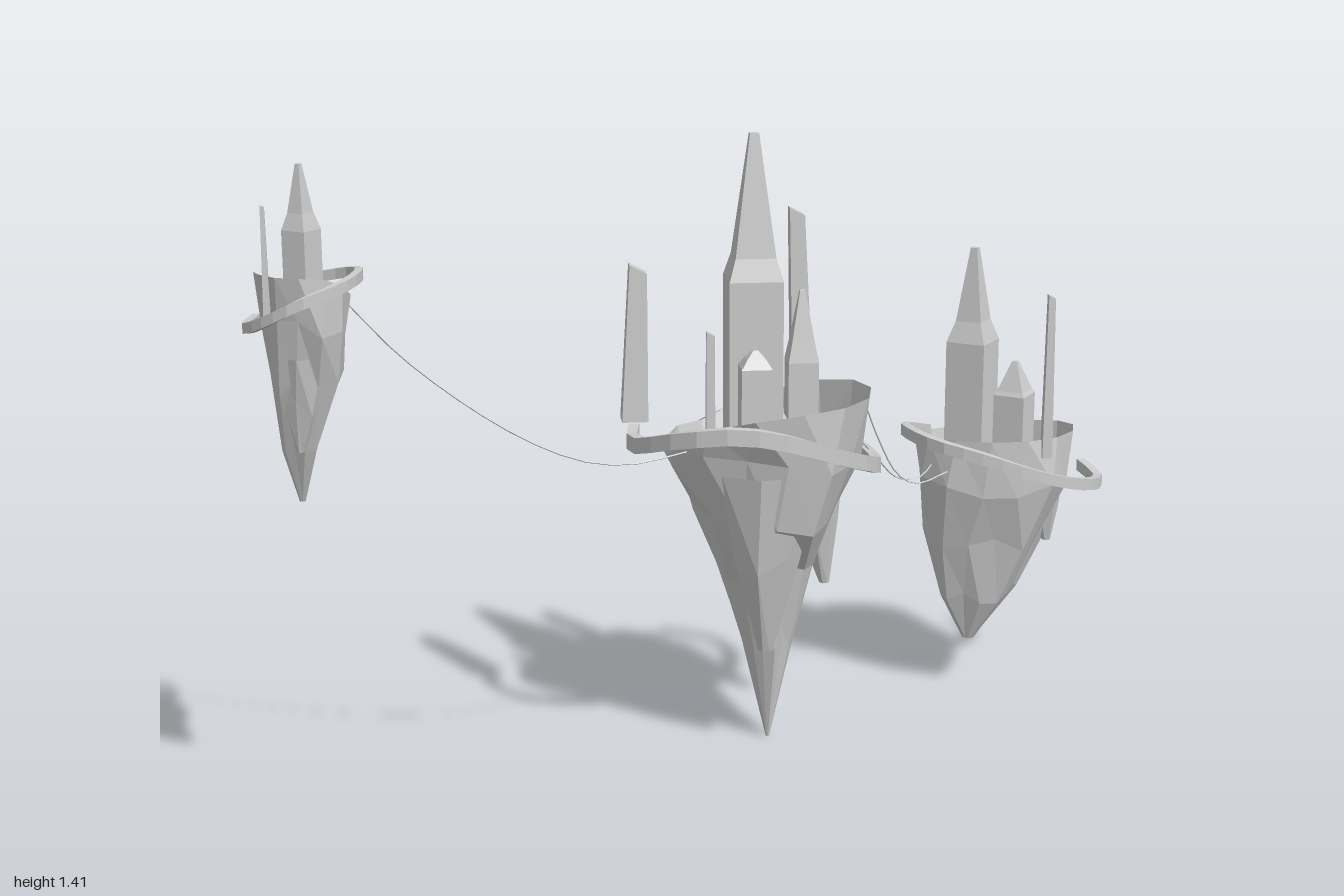
import * as THREE from 'three';

const stone = new THREE.MeshStandardMaterial({ color: 0xcccccc, flatShading: true });
const shell = new THREE.MeshStandardMaterial({ color: 0xcccccc, flatShading: true, side: THREE.DoubleSide });
const V = (x, y, z) => new THREE.Vector3(x, y, z);

// Skin over a stack of equal-length loops; closed skins get a fan at both ends
function loft(name, loops, open = false) {
  const n = loops[0].length, pos = [], idx = [];
  loops.forEach(l => l.forEach(p => pos.push(p.x, p.y, p.z)));
  for (let i = 0; i < loops.length - 1; i++) {
    for (let j = 0; j < n; j++) {
      const a = i * n + j, b = i * n + (j + 1) % n;
      idx.push(a, b, a + n, b, b + n, a + n);
    }
  }
  if (!open) [0, loops.length - 1].forEach((l, end) => {
    const c = V(0, 0, 0);
    loops[l].forEach(p => c.addScaledVector(p, 1 / n));
    const ci = pos.length / 3;
    pos.push(c.x, c.y, c.z);
    for (let j = 0; j < n; j++) {
      const a = l * n + j, b = l * n + (j + 1) % n;
      if (end) idx.push(a, b, ci); else idx.push(b, a, ci);
    }
  });
  // Turn all faces outwards: the enclosed volume must be positive
  const at = k => V(pos[3 * k], pos[3 * k + 1], pos[3 * k + 2]);
  const origin = at(0);
  let volume = 0;
  for (let k = 0; k < idx.length; k += 3) {
    const [a, b, c] = [0, 1, 2].map(m => at(idx[k + m]).sub(origin));
    volume += a.dot(b.cross(c));
  }
  if (volume < 0) idx.reverse();
  const g = new THREE.BufferGeometry();
  g.setAttribute('position', new THREE.Float32BufferAttribute(pos, 3));
  g.setIndex(idx);
  g.computeVertexNormals();
  const mesh = new THREE.Mesh(g, open ? shell : stone);
  mesh.name = name;
  return mesh;
}

function seeded(s) {
  return () => {
    s = (s * 16807) % 2147483647;
    return s / 2147483647;
  };
}

// Hollow craggy rock; sections are [y, centreX, centreZ, radiusX, radiusZ] from rim to tip.
// The rim is highest towards the angle `high` and sinks by `drop` opposite to it.
function rock(name, sections, seed, n = 14, drop = 0, high = 0, rough = 0.14) {
  const rnd = seeded(seed);
  const ridge = Array.from({ length: n }, () => 1 + (rnd() - 0.5) * rough);
  return loft(name, sections.map(([y, cx, cz, rx, rz], i) => {
    const inner = i > 0 && i < sections.length - 1;
    return ridge.map((k, j) => {
      const a = j / n * Math.PI * 2 + i * 0.12;
      const r = inner ? k + (rnd() - 0.5) * rough : 1;
      const sink = i === 0 ? drop * ((1 - Math.cos(a - high)) / 2) ** 2 : 0;
      const dy = inner ? (rnd() - 0.5) * 0.05 : -sink;
      return V(cx + Math.cos(a) * rx * r, y + dy, cz + Math.sin(a) * rz * r);
    });
  }), true);
}

// Hanging spur that narrows from a root to a blunt tip, both [x, y, z]
function spur(name, root, tip, rx, rz, seed) {
  return rock(name, [0, 0.5, 1].map(t => {
    const p = V(...root).lerp(V(...tip), t), w = 1 - 0.86 * t ** 1.3;
    return [p.y, p.x, p.z, rx * w, rz * w];
  }), seed, 7);
}

// Square loop, optionally turned, with a sloping height
function square(x, y, z, s, turn = 0, slope = 0) {
  return [0, 1, 2, 3].map(k => {
    const a = turn + Math.PI / 4 + k * Math.PI / 2, r = s * Math.SQRT2;
    return V(x + Math.cos(a) * r, y + Math.cos(a) * r * slope, z + Math.sin(a) * r);
  });
}

// Tower with a bevelled shoulder and a tapering spire
function tower(name, x, z, s, [base, eaves, shoulder, tip], turn = 0, neck = 0.75) {
  return loft(name, [
    square(x, base, z, s, turn), square(x, eaves, z, s, turn),
    square(x, shoulder, z, s * neck, turn), square(x, tip, z, s * 0.17, turn)]);
}

// Leaning monolith with a slanted top
function pylon(name, x, z, y0, y1, s0, s1, lean = 0) {
  return loft(name, [square(x, y0, z, s0), square(x + lean, y1 - s1 * 0.5, z, s1, 0, -0.5)]);
}

// Broken ring: rectangular band swept along a path
function ring(name, width, height, ...pts) {
  const curve = new THREE.CatmullRomCurve3(pts.map(p => V(...p)));
  const loops = [], segments = 20;
  for (let i = 0; i <= segments; i++) {
    const p = curve.getPointAt(i / segments), t = curve.getTangentAt(i / segments);
    const side = V(-t.z, 0, t.x).normalize().multiplyScalar(width / 2);
    loops.push([[1, 1], [1, -1], [-1, -1], [-1, 1]].map(([u, v]) =>
      p.clone().addScaledVector(side, u).add(V(0, v * height / 2, 0))));
  }
  return loft(name, loops);
}

function cable(name, ...pts) {
  const curve = new THREE.CatmullRomCurve3(pts.map(p => V(...p)));
  const mesh = new THREE.Mesh(new THREE.TubeGeometry(curve, 14, 0.002, 4), stone);
  mesh.name = name;
  return mesh;
}

function island(name, ...parts) {
  const g = new THREE.Group();
  g.name = name;
  g.add(...parts);
  return g;
}

export function createModel() {
  const model = new THREE.Group();
  model.name = 'floatingIslands';

  const mainRock = rock('mainRock', [
    [0.832, 0.12, -0.03, 0.24, 0.24], [0.7, 0.12, -0.035, 0.22, 0.225],
    [0.56, 0.125, -0.03, 0.175, 0.175], [0.42, 0.125, -0.04, 0.115, 0.085],
    [0.25, 0.125, -0.04, 0.06, 0.055], [0, 0.13, -0.04, 0.004, 0.004]], 17, 14, 0.13, 0.53);
  const mainRing = ring('mainRing', 0.024, 0.036,
    [-0.175, 0.74, -0.05], [-0.183, 0.735, 0.05], [-0.08, 0.785, 0.21], [0.03, 0.8, 0.253],
    [0.14, 0.775, 0.235], [0.25, 0.725, 0.165], [0.345, 0.675, 0.05], [0.384, 0.635, -0.1],
    [0.36, 0.635, -0.27], [0.24, 0.67, -0.33]);
  model.add(island('mainIsland', mainRock, mainRing,
    spur('frontSpur', [0.11, 0.68, 0.1], [0.11, 0.25, 0.065], 0.12, 0.085, 5),
    spur('rightSpur', [0.24, 0.68, -0.15], [0.275, 0.34, -0.137], 0.085, 0.095, 9),
    tower('mainTower', 0.09, -0.02, 0.06, [0.72, 1.09, 1.14, 1.41]),
    tower('sideTower', 0.2, -0.022, 0.034, [0.77, 0.9, 0.945, 1.06]),
    tower('house', 0.077, 0.12, 0.034, [0.78, 0.92, 0.94, 0.957], 0, 0.6),
    pylon('tallPylon', 0.213, -0.088, 0.72, 1.235, 0.025, 0.017, -0.018),
    pylon('leftPylon', -0.178, 0, 0.78, 1.13, 0.029, 0.019, 0.01),
    pylon('thinPylon', -0.013, 0.046, 0.72, 0.985, 0.01, 0.009)));

  const rightRock = rock('rightRock', [
    [0.652, 0.722, -0.355, 0.195, 0.175], [0.53, 0.725, -0.35, 0.185, 0.165],
    [0.38, 0.705, -0.335, 0.14, 0.105], [0.25, 0.69, -0.325, 0.09, 0.06],
    [0.125, 0.665, -0.325, 0.015, 0.018]], 41, 14, 0.045, 1.25);
  const rightRing = ring('rightRing', 0.021, 0.028,
    [0.585, 0.61, -0.485], [0.51, 0.64, -0.39], [0.55, 0.64, -0.235], [0.66, 0.615, -0.175],
    [0.79, 0.57, -0.172], [0.91, 0.53, -0.235], [0.98, 0.51, -0.34], [0.96, 0.525, -0.43]);
  model.add(island('rightIsland', rightRock, rightRing,
    spur('lowSpur', [0.755, 0.46, -0.35], [0.775, 0.25, -0.35], 0.09, 0.08, 3),
    spur('sideSpur', [0.83, 0.55, -0.37], [0.858, 0.36, -0.35], 0.075, 0.08, 12),
    tower('rightTower', 0.665, -0.362, 0.048, [0.58, 0.86, 0.91, 1.085], 0.6, 0.66),
    tower('rightHouse', 0.767, -0.345, 0.038, [0.58, 0.73, 0.74, 0.81], 0.6, 0.85),
    pylon('rightPylon', 0.812, -0.197, 0.61, 1.0, 0.012, 0.008)));

  const leftRock = rock('leftRock', [
    [1.21, -0.87, 0.395, 0.095, 0.115], [1.1, -0.867, 0.39, 0.09, 0.11],
    [0.98, -0.865, 0.375, 0.078, 0.088], [0.85, -0.885, 0.37, 0.042, 0.048],
    [0.72, -0.89, 0.365, 0.006, 0.006]], 29, 12, 0.1, 2.1);
  const leftRing = ring('leftRing', 0.016, 0.022,
    [-0.97, 1.09, 0.305], [-0.985, 1.09, 0.39], [-0.95, 1.115, 0.475], [-0.87, 1.16, 0.52],
    [-0.79, 1.185, 0.475], [-0.757, 1.195, 0.4], [-0.78, 1.185, 0.315], [-0.86, 1.165, 0.265]);
  model.add(island('leftIsland', leftRock, leftRing,
    spur('leftSpur', [-0.87, 1.04, 0.42], [-0.885, 0.84, 0.425], 0.06, 0.06, 8),
    tower('leftTower', -0.87, 0.352, 0.028, [1.1, 1.28, 1.315, 1.412], 0.6, 0.65),
    pylon('leftThinPylon', -0.936, 0.475, 1.12, 1.35, 0.007, 0.004)));

  // Sagging cables between the islands
  model.add(
    cable('longCable', [-0.79, 1.13, 0.335], [-0.67, 1.0, 0.33], [-0.46, 0.84, 0.315],
      [-0.31, 0.765, 0.285], [-0.2, 0.743, 0.24], [-0.08, 0.75, 0.18]),
    cable('upperCable', [0.35, 0.81, -0.12], [0.4, 0.68, -0.14], [0.45, 0.59, -0.16],
      [0.5, 0.56, -0.18], [0.58, 0.575, -0.22]),
    cable('lowerCable', [0.33, 0.71, -0.15], [0.4, 0.63, -0.18], [0.46, 0.565, -0.22],
      [0.52, 0.555, -0.25], [0.57, 0.6, -0.28]));
  return model;
}
